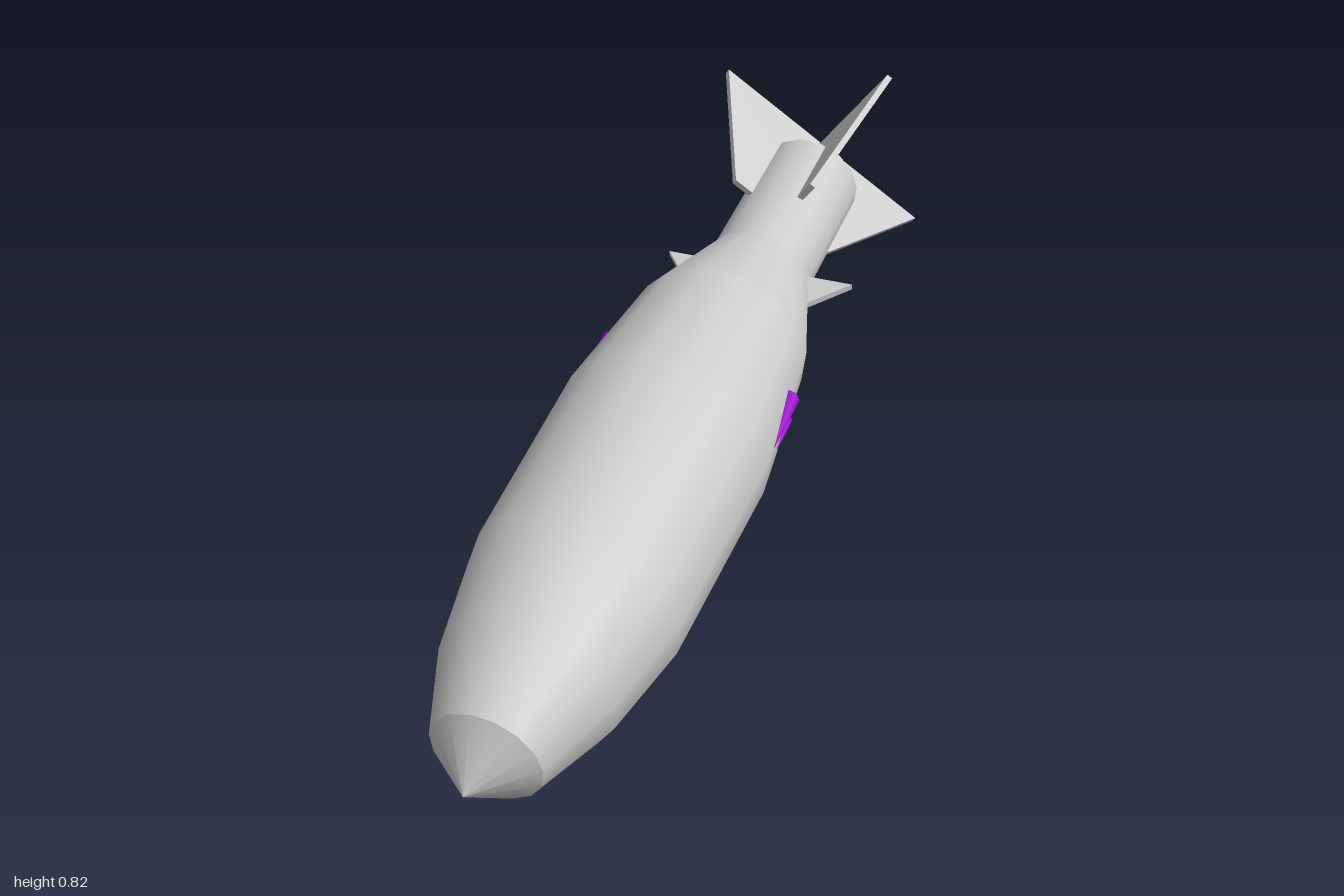
import * as THREE from 'three';

const SIDES = 15;
const ROLL = 0.134;   // slight turn about the long axis
const PITCH = 0.2164; // nose tilted down

const grey = new THREE.MeshStandardMaterial({ color: 0xcccccc });
const purple = new THREE.MeshStandardMaterial({ color: 0x9a00cc });

function part(name, geometry, material = grey) {
  const mesh = new THREE.Mesh(geometry, material);
  mesh.name = name;
  return mesh;
}

// Turned part along z; profile is [radius, z] from back to front
function turned(name, profile) {
  const points = profile.map(([r, z]) => new THREE.Vector2(r, z));
  const geometry = new THREE.LatheGeometry(points, SIDES, Math.PI + ROLL);
  return part(name, geometry.rotateX(Math.PI / 2));
}

// Flat plate in the xz plane; outline is [x, z]
function plate(name, outline, thickness) {
  const shape = new THREE.Shape(outline.map(([x, z]) => new THREE.Vector2(x, z)));
  const geometry = new THREE.ExtrudeGeometry(shape, { depth: thickness, bevelEnabled: false });
  geometry.translate(0, 0, -thickness / 2).rotateX(Math.PI / 2);
  return part(name, geometry);
}

export function createModel() {
  const model = new THREE.Group();
  const bomb = new THREE.Group();
  bomb.name = 'bomb';
  bomb.rotation.x = PITCH;
  bomb.position.set(0, 0.33, 0.0726);
  model.add(bomb);

  // Casing, with sharp edges between the separate sections
  bomb.add(
    turned('noseCone', [[0.116, 0.852], [0, 0.949]]),
    turned('body', [[0.2, -0.366], [0.237, -0.023], [0.227, 0.447], [0.186, 0.667], [0.116, 0.852]]),
    turned('rearTaper', [[0.126, -0.592], [0.2, -0.366]]),
    turned('rearTaperCap', [[0, -0.592], [0.126, -0.592]]),
    turned('tailTube', [[0.119, -0.968], [0.119, -0.58]]),
    turned('tailTubeCap', [[0, -0.968], [0.119, -0.968]])
  );

  // Two crossed plates make the four tail fins
  for (const side of [-1, 1]) {
    const fin = plate('tailFins', [[-0.29, -1.06], [0.29, -1.06], [0.137, -0.766], [-0.137, -0.766]], 0.014);
    fin.rotation.z = ROLL + side * Math.PI / 4;
    fin.position.y = 0.038;
    bomb.add(fin);
  }

  // Small side fins at the end of the taper
  for (const side of [0, Math.PI]) {
    const fin = plate('sideFin', [[0.1, -0.616], [0.222, -0.616], [0.142, -0.522], [0.1, -0.522]], 0.014);
    fin.rotation.z = side;
    if (side) fin.name = 'rightSideFin';
    bomb.add(fin);
  }

  // Purple studs half sunk in each flank: a large one and a small one
  for (const side of [0, Math.PI]) {
    const studs = new THREE.Group();
    studs.name = side ? 'rightStuds' : 'leftStuds';
    studs.rotation.z = side;
    const small = side ? [0.02, 0.11, 0.196, -0.072] : [0.015, 0.09, 0.2, -0.062];
    for (const [radius, length, x, y] of [[0.027, 0.15, 0.207, 0.001], small]) {
      const geometry = new THREE.CylinderGeometry(radius * 0.25, radius, length, 8);
      geometry.translate(0, length / 2, 0).rotateX(Math.PI / 2).rotateY(0.12);
      const stud = part('stud', geometry, purple);
      stud.position.set(x, y, -0.222);
      studs.add(stud);
    }
    bomb.add(studs);
  }

  return model;
}
